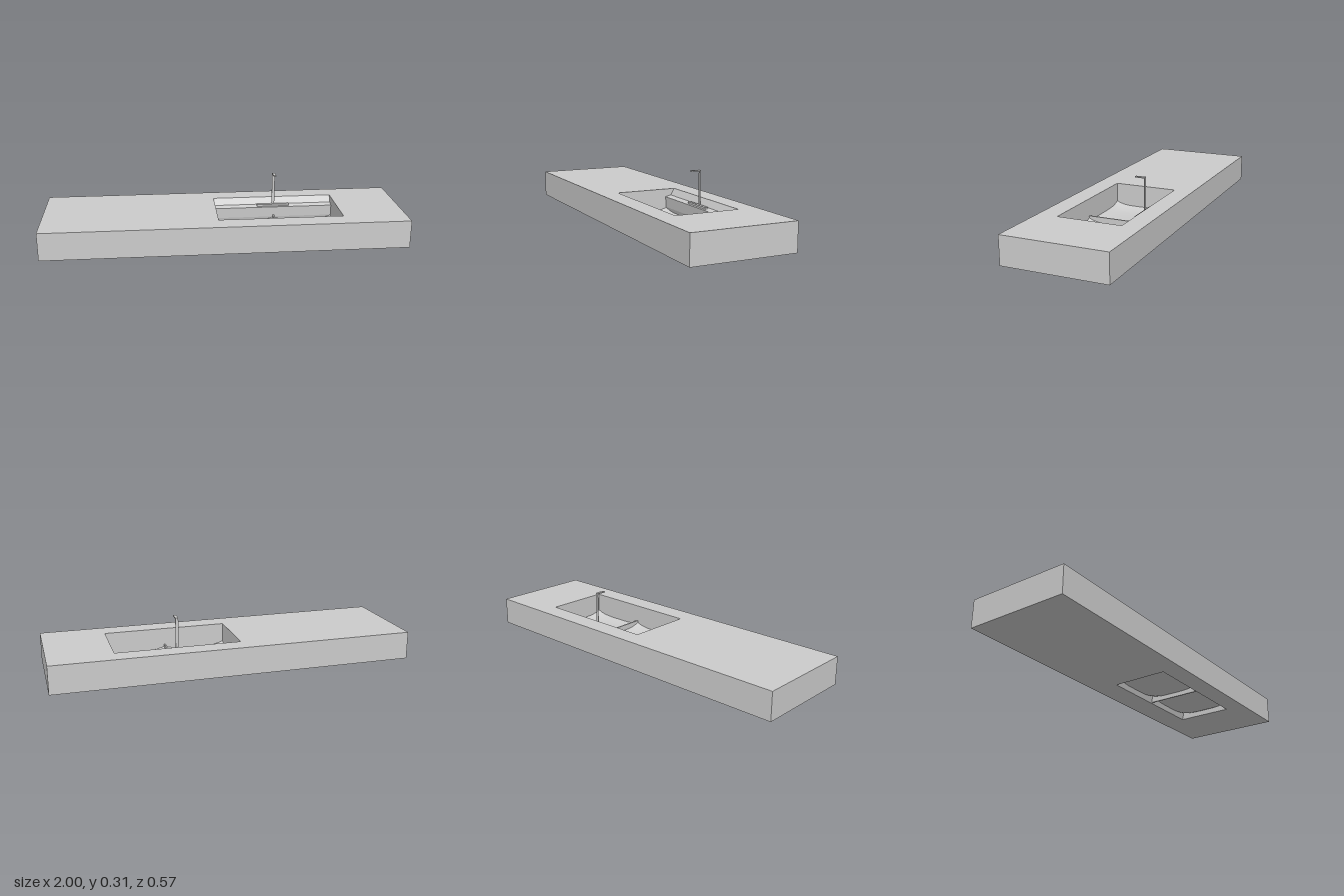
import * as THREE from 'three';

const H = 0.155, HALF_D = 0.287;
const X0 = -0.04, X1 = 0.65, Z0 = -0.18, Z1 = 0.175; // basin opening
const LEDGE_Y = 0.11, MID = 0.308;

export function createModel() {
  const group = new THREE.Group();
  const grey = new THREE.MeshStandardMaterial({ color: 0xcccccc });
  const thin = new THREE.MeshStandardMaterial({ color: 0xcccccc, side: THREE.DoubleSide });

  const add = (name, geometry, material = grey) => {
    const mesh = new THREE.Mesh(geometry, material);
    mesh.name = name;
    group.add(mesh);
  };
  // box given by its minimum and maximum corners
  const box = (name, a, b) => add(name, new THREE.BoxGeometry(b[0] - a[0], b[1] - a[1], b[2] - a[2])
    .translate((a[0] + b[0]) / 2, (a[1] + b[1]) / 2, (a[2] + b[2]) / 2));
  const rect = (Type, x0, x1, z0, z1) => new Type(
    [[x0, -z1], [x1, -z1], [x1, -z0], [x0, -z0]].map(p => new THREE.Vector2(...p)));

  // Worktop slab with the basin cut through it; the hole forms the basin walls
  const slab = rect(THREE.Shape, -1, 1, -HALF_D, HALF_D);
  slab.holes.push(rect(THREE.Path, X0, X1, Z0, Z1));
  add('worktop', new THREE.ExtrudeGeometry(slab, { depth: H, bevelEnabled: false })
    .rotateX(-Math.PI / 2), thin);

  // Ledge along the back of the basin: sloped top, shelf for the tap, back wall of the bowls
  const ledge = new THREE.Shape([
    [0.18, 0], [0.18, H], [0.158, LEDGE_Y + 0.008], [0.125, LEDGE_Y], [0.128, 0.05], [0.14, 0],
  ].map(p => new THREE.Vector2(...p)));
  add('tapLedge', new THREE.ExtrudeGeometry(ledge, { depth: X1 - X0, bevelEnabled: false })
    .rotateY(Math.PI / 2).translate(X0, 0, 0), thin);

  // Two dished bowl floors that curve up into the walls
  const bowlFloor = (name, x0, x1) => {
    const w = x1 - x0, z0 = -0.135, d = Z1 - z0;
    const g = new THREE.PlaneGeometry(w, d, 20, 20).rotateX(-Math.PI / 2);
    const p = g.attributes.position;
    for (let i = 0; i < p.count; i++) {
      const u = 2 * p.getX(i) / w, v = 2 * p.getZ(i) / d;
      p.setY(i, 0.01 + 0.02 * (u ** 4 + v ** 4));
    }
    g.computeVertexNormals();
    add(name, g.translate((x0 + x1) / 2, 0, z0 + d / 2), thin);
  };
  bowlFloor('rightBowlFloor', X0, MID);
  bowlFloor('leftBowlFloor', MID, X1);

  // Low wall between the bowls
  box('divider', [MID - 0.004, 0.004, -0.135], [MID + 0.004, 0.06, Z1]);

  // Tap: base plate, flat stem and spout
  box('tapBase', [0.212, LEDGE_Y, -0.153], [0.4, LEDGE_Y + 0.013, -0.135]);
  box('tapStem', [MID - 0.008, LEDGE_Y, -0.153], [MID + 0.008, 0.31, -0.15]);
  box('tapSpout', [MID - 0.008, 0.304, -0.153], [MID + 0.008, 0.31, -0.098]);

  return group;
}
